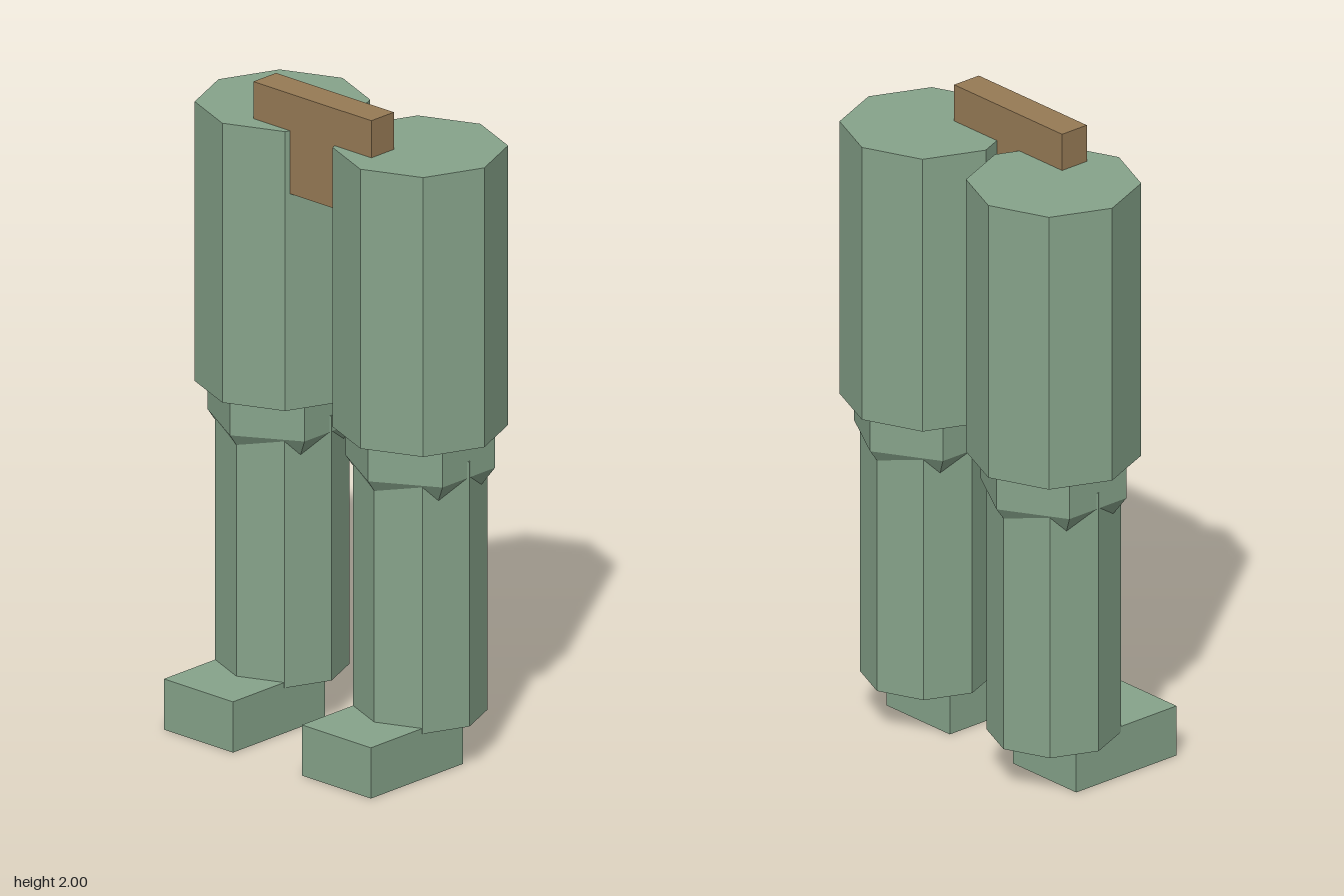
import * as THREE from 'three';

export function createModel() {
  const model = new THREE.Group();
  model.name = 'legs';
  const green = new THREE.MeshStandardMaterial({ color: 0x86a38a, flatShading: true });
  const brown = new THREE.MeshStandardMaterial({ color: 0x967a55, flatShading: true });

  function add(parent, name, geometry, material, x, y, z) {
    const mesh = new THREE.Mesh(geometry, material);
    mesh.name = name;
    mesh.position.set(x, y, z);
    parent.add(mesh);
    return mesh;
  }

  for (const [side, s] of [['left', 1], ['right', -1]]) {
    const leg = new THREE.Group();
    leg.name = side + 'Leg';
    leg.position.x = s * 0.274;
    model.add(leg);

    // Octagonal thigh and calf, corners facing front and sides
    add(leg, side + 'Thigh', new THREE.CylinderGeometry(0.254, 0.254, 0.865, 8), green, 0, 1.4525, -0.05);
    add(leg, side + 'Calf', new THREE.CylinderGeometry(0.195, 0.195, 0.82, 8), green, 0, 0.55, -0.05);

    // Six-sided ball knee, turned so a corner faces front
    const knee = add(leg, side + 'Knee', new THREE.SphereGeometry(0.2335, 6, 5), green, 0, 0.982, -0.05);
    knee.rotation.y = Math.PI / 2;

    // Block foot reaching forward
    add(leg, side + 'Foot', new THREE.BoxGeometry(0.274, 0.157, 0.39), green, 0, 0.0785, 0.11);
  }

  // Hip block sunk into both thighs
  add(model, 'hipBlock', new THREE.BoxGeometry(0.468, 0.31, 0.096), brown, 0, 1.845, 0.067);

  return model;
}
